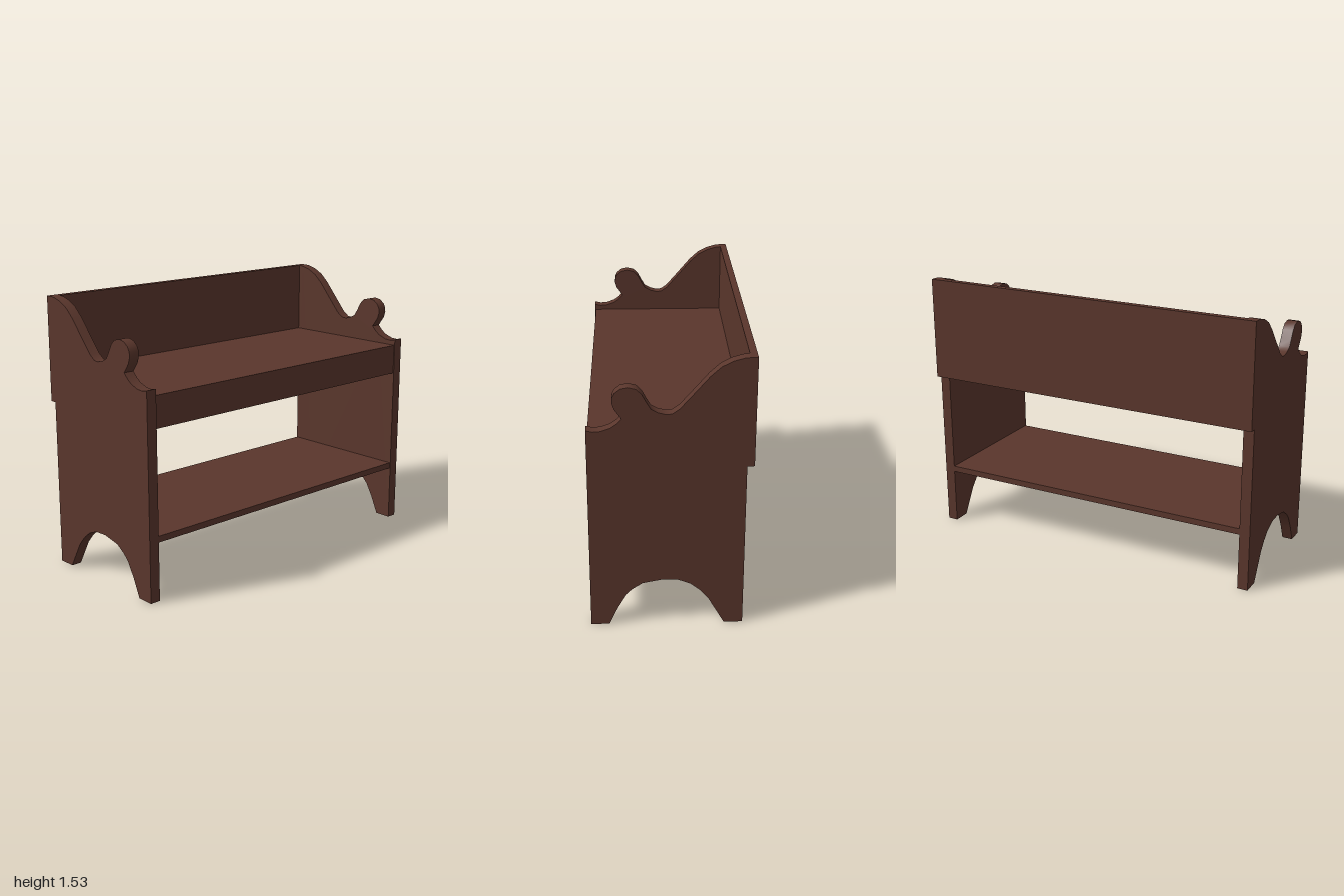
import * as THREE from 'three';
import { toCreasedNormals } from 'three/addons/utils/BufferGeometryUtils.js';

export function createModel() {
  const bench = new THREE.Group();
  bench.name = 'bench';
  const wood = new THREE.MeshStandardMaterial({ color: 0x5a362c });
  wood.name = 'dark brown wood';

  const FRONT = 0.425, BACK = -0.39, THICK = 0.06, INNER = 1 - THICK;

  // Side panel outline as [z, y]: arched foot, then the scrolled arm
  const footArch = [
    [-0.29, 0], [-0.245, 0.08], [-0.205, 0.152], [-0.16, 0.205], [-0.108, 0.246], [-0.043, 0.272],
    [0.039, 0.275], [0.144, 0.254], [0.2, 0.217], [0.237, 0.18], [0.282, 0.1], [0.327, 0],
  ];
  const armScroll = [
    [FRONT, 1.15], [0.39, 1.142], [0.35, 1.145], [0.3, 1.163], [0.27, 1.185], [0.245, 1.212],
    [0.282, 1.264], [0.293, 1.3], [0.291, 1.325], [0.278, 1.35], [0.25, 1.372], [0.21, 1.38],
    [0.168, 1.37], [0.14, 1.342], [0.116, 1.297], [0.095, 1.262], [0.06, 1.243], [0.02, 1.233],
    [-0.01, 1.236], [-0.047, 1.262], [-0.116, 1.341], [-0.197, 1.435], [-0.25, 1.483],
    [-0.306, 1.512], [-0.36, 1.527], [BACK, 1.53],
  ];
  const outline = [[BACK, 0], ...footArch, [FRONT, 0], ...armScroll];
  const shape = new THREE.Shape(outline.map(([z, y]) => new THREE.Vector2(z, y)));
  const extruded = new THREE.ExtrudeGeometry(shape, { depth: THICK, bevelEnabled: false });
  extruded.rotateY(-Math.PI / 2); // outline now lies in z/y, thickness along -x
  const sideGeometry = toCreasedNormals(extruded, 0.6);

  for (const [name, x] of [['leftSide', 1], ['rightSide', -INNER]]) {
    const side = new THREE.Mesh(sideGeometry, wood);
    side.name = name;
    side.position.x = x;
    bench.add(side);
  }

  // Boards running between or across the sides
  const board = (name, halfWidth, y0, y1, z0, z1) => {
    const mesh = new THREE.Mesh(new THREE.BoxGeometry(halfWidth * 2, y1 - y0, z1 - z0), wood);
    mesh.name = name;
    mesh.position.set(0, (y0 + y1) / 2, (z0 + z1) / 2);
    bench.add(mesh);
  };
  board('backrest', 1, 0.94, 1.53, -0.428, BACK);
  board('seat', INNER, 1.08, 1.115, BACK, 0.42);
  board('apron', INNER, 0.94, 1.08, 0.385, 0.42);
  board('lowerShelf', INNER, 0.325, 0.36, BACK, 0.42);

  return bench;
}
